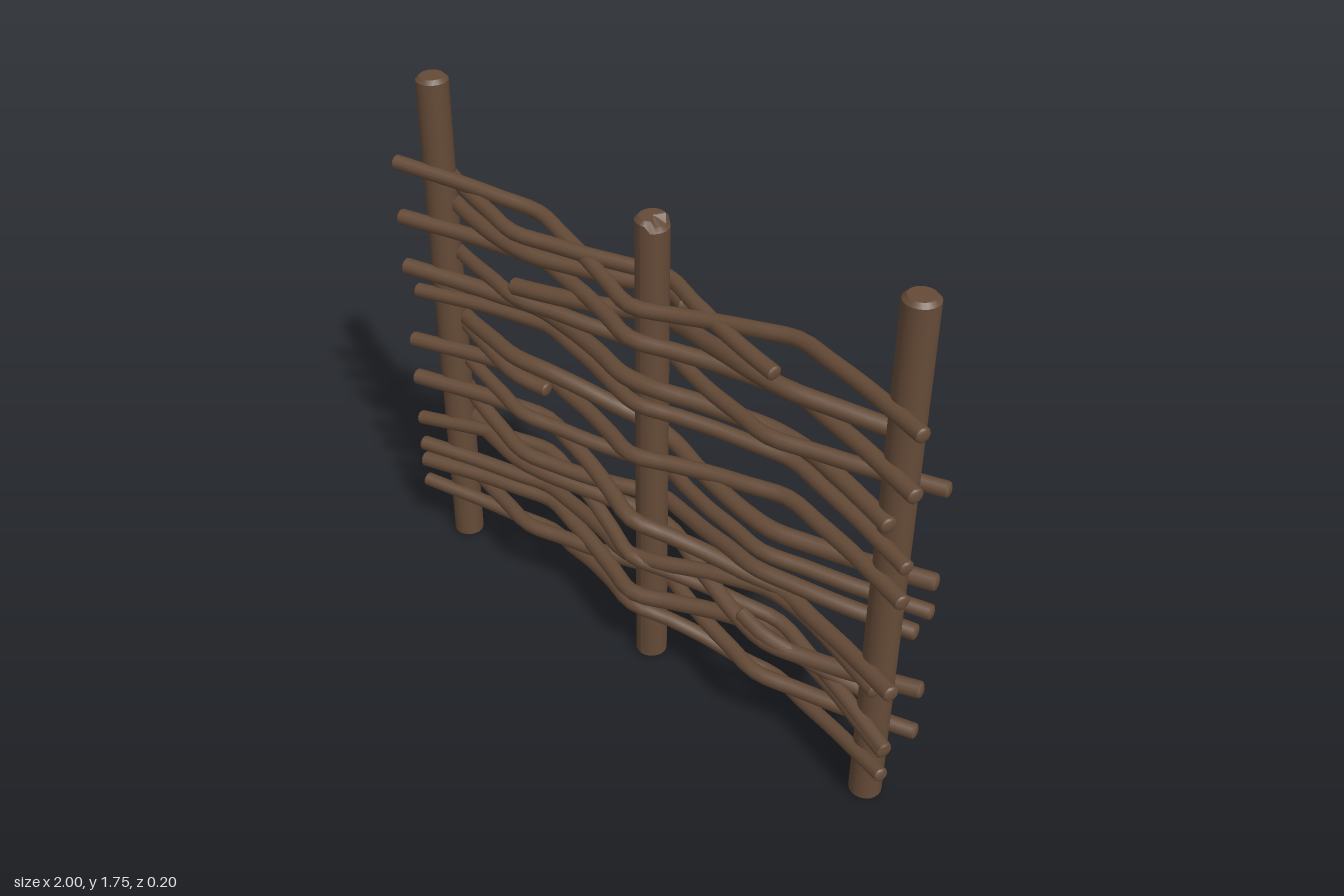
import * as THREE from 'three';

const bark = new THREE.MeshStandardMaterial({ color: 0x644a37 });
bark.name = 'brown bark';

const END = 0.985;

// Depth of the weave: front at the posts, back halfway between them
function weaveDepth(x) {
  const t = 2 * Math.abs(Math.abs(x) / 0.49 - 1) - 1;
  return t * (t > 0 ? 0.075 : 0.055);
}

// Upright stake with bevelled ends
function makePost(name, x, height, notch = 0) {
  const r = 0.05, b = 0.012;
  const corners = [[r - b, 0], [r, b], [r, height - b], [r - b, height]];
  const outline = [[0, 0], ...corners.flatMap((c) => [c, c]), [0, height]];
  const geo = new THREE.LatheGeometry(outline.map(([a, h]) => new THREE.Vector2(a, h)), 20);
  if (notch) {
    // Chipped corner on the top
    const p = geo.attributes.position;
    for (let i = 0; i < p.count; i++) {
      if (p.getY(i) > height - 0.02 && p.getX(i) > 0.025) p.setY(i, p.getY(i) - notch);
    }
    geo.computeVertexNormals();
  }
  const post = new THREE.Mesh(geo, bark);
  post.name = name;
  post.position.set(x, 0, -0.008);
  return post;
}

// Bent rod through evenly spaced heights; side = 1 passes in front of the posts, -1 behind
function makeRod(name, side, radius, heights, from = -END, to = END) {
  const last = heights.length - 1;
  const rise = new THREE.SplineCurve(
    heights.map((y, i) => new THREE.Vector2(THREE.MathUtils.lerp(from, to, i / last), y))
  );
  const points = rise.getPoints(last * 4).map((p) => new THREE.Vector3(p.x, p.y, side * weaveDepth(p.x)));
  const curve = new THREE.CatmullRomCurve3(points);
  const rod = new THREE.Group();
  rod.name = name;
  const stem = new THREE.Mesh(new THREE.TubeGeometry(curve, last * 12, radius, 10), bark);
  stem.name = name + 'Stem';
  rod.add(stem);
  for (const t of [0, 1]) {
    const cap = new THREE.Mesh(new THREE.SphereGeometry(radius, 10, 8), bark);
    cap.name = name + 'End';
    cap.scale.y = 0.45;
    cap.position.copy(curve.getPoint(t));
    cap.quaternion.setFromUnitVectors(new THREE.Vector3(0, 1, 0), curve.getTangent(t));
    rod.add(cap);
  }
  return rod;
}

// Heights along each rod, then its start and end where it is shorter than the fence
const frontRods = [
  [[1.46, 1.42, 1.37, 1.42, 1.43]],
  [[1.27, 1.26, 1.26, 1.25, 1.24]],
  [[1.09, 1.08, 1.11, 1.1, 1.08], -END, 0.9],
  [[1.01, 1.03, 1.04, 1.02, 1.0], -0.95],
  [[0.81, 0.83, 0.85, 0.88, 0.88]],
  [[0.66, 0.66, 0.6, 0.53, 0.54]],
  [[0.49, 0.53, 0.45, 0.4, 0.32]],
  [[0.38, 0.38, 0.44, 0.51, 0.49], -END, 0.92],
  [[0.31, 0.32, 0.3, 0.36, 0.31]],
  [[0.22, 0.19, 0.25, 0.17, 0.21]],
];
const backRods = [
  [[1.42, 1.4, 1.4, 1.37], -END, 0.5],
  [[1.32, 1.34, 1.36], -END, 0.1],
  [[1.21, 1.26, 1.33, 1.31], -0.5, 0.88],
  [[1.14, 1.17, 1.15, 1.16, 1.17]],
  [[0.89, 0.87], -END, -0.4],
  [[0.91, 0.94, 0.85, 0.84, 0.85], -0.86],
  [[0.75, 0.74, 0.72, 0.75, 0.74]],
  [[0.63, 0.58, 0.6, 0.67, 0.65], -END, 0.95],
  [[0.5, 0.53, 0.5, 0.41, 0.44], -0.88],
  [[0.45, 0.35], 0.42, 0.9],
  [[0.26, 0.28, 0.29, 0.27, 0.27]],
];

export function createModel() {
  const fence = new THREE.Group();
  fence.name = 'wovenFence';
  fence.add(makePost('rightPost', -0.885, 1.75));
  fence.add(makePost('middlePost', 0.008, 1.625, 0.02));
  fence.add(makePost('leftPost', 0.885, 1.75));
  const addRods = (name, side, rods) => rods.forEach((rod, i) => {
    fence.add(makeRod(name + (i + 1), side, 0.0235 + 0.0015 * (i % 3), ...rod));
  });
  addRods('frontRod', 1, frontRods);
  addRods('backRod', -1, backRods);
  return fence;
}
